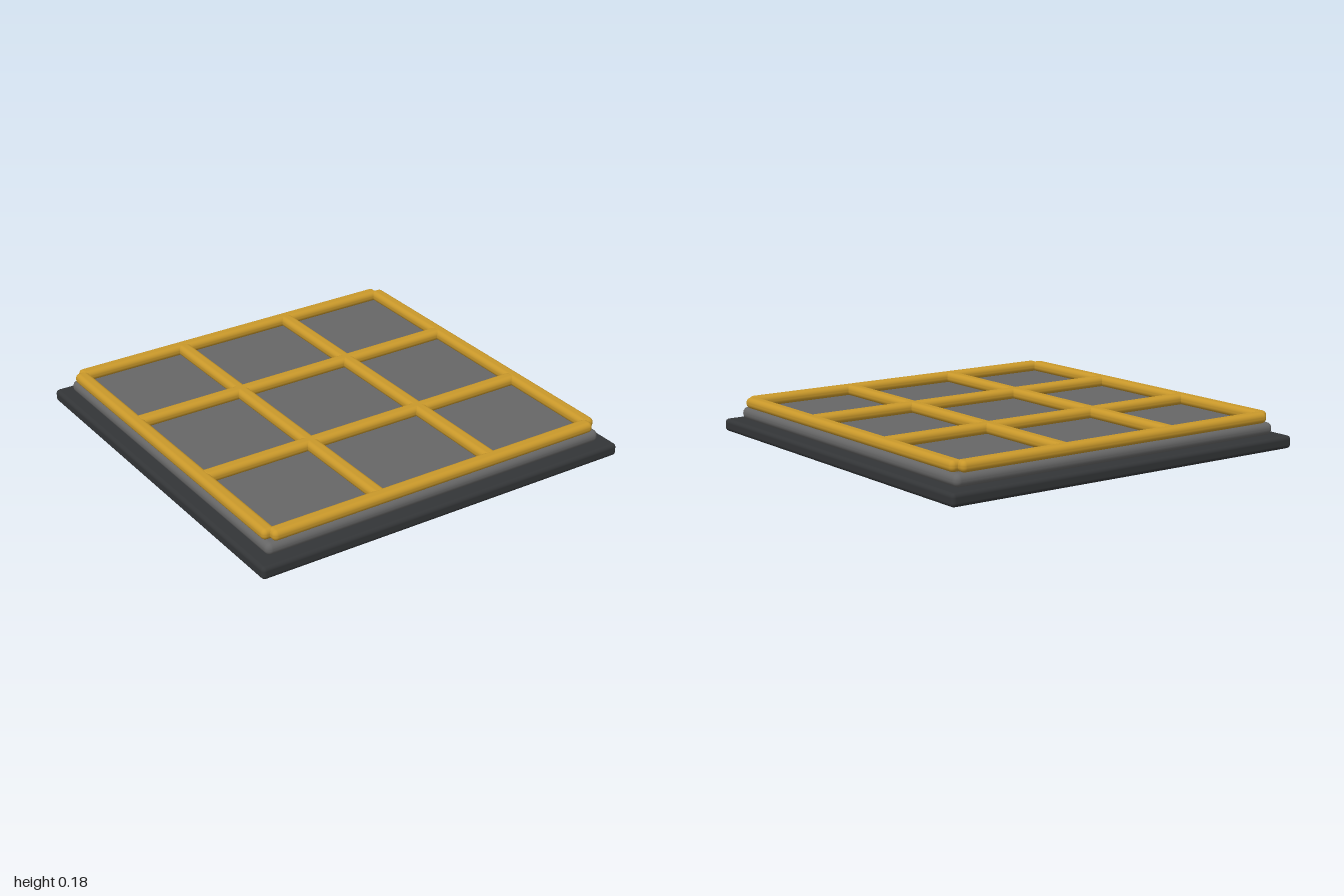
import * as THREE from 'three';
import { RoundedBoxGeometry } from 'three/addons/geometries/RoundedBoxGeometry.js';

const material = (color) => new THREE.MeshStandardMaterial({ color });

// Rounded box resting on height y
function block(name, w, h, d, r, mat, x, y, z) {
  const mesh = new THREE.Mesh(new RoundedBoxGeometry(w, h, d, 4, r), mat);
  mesh.name = name;
  mesh.position.set(x, y + h / 2, z);
  return mesh;
}

export function createModel() {
  const model = new THREE.Group();
  model.name = 'griddedFloorPanel';

  // Stepped base: wide dark plate with a smaller grey slab on it
  model.add(block('basePlate', 2, 0.063, 2, 0.02, material(0x333537), 0, 0, 0));
  model.add(block('upperSlab', 1.875, 0.063, 1.875, 0.03, material(0x666666), 0, 0.063, 0));

  // Lattice of four bars each way, making nine square cells
  const grid = new THREE.Group();
  grid.name = 'barGrid';
  const gold = material(0xc9982a);
  const width = 0.07, height = 0.054, length = 1.8, y = 0.124;
  for (const p of [-0.9, -0.313, 0.313, 0.9]) {
    grid.add(block('crossBar', length, height, width, 0.024, gold, 0, y, p));
    grid.add(block('lengthBar', width, height, length, 0.024, gold, p, y, 0));
  }
  model.add(grid);
  return model;
}
